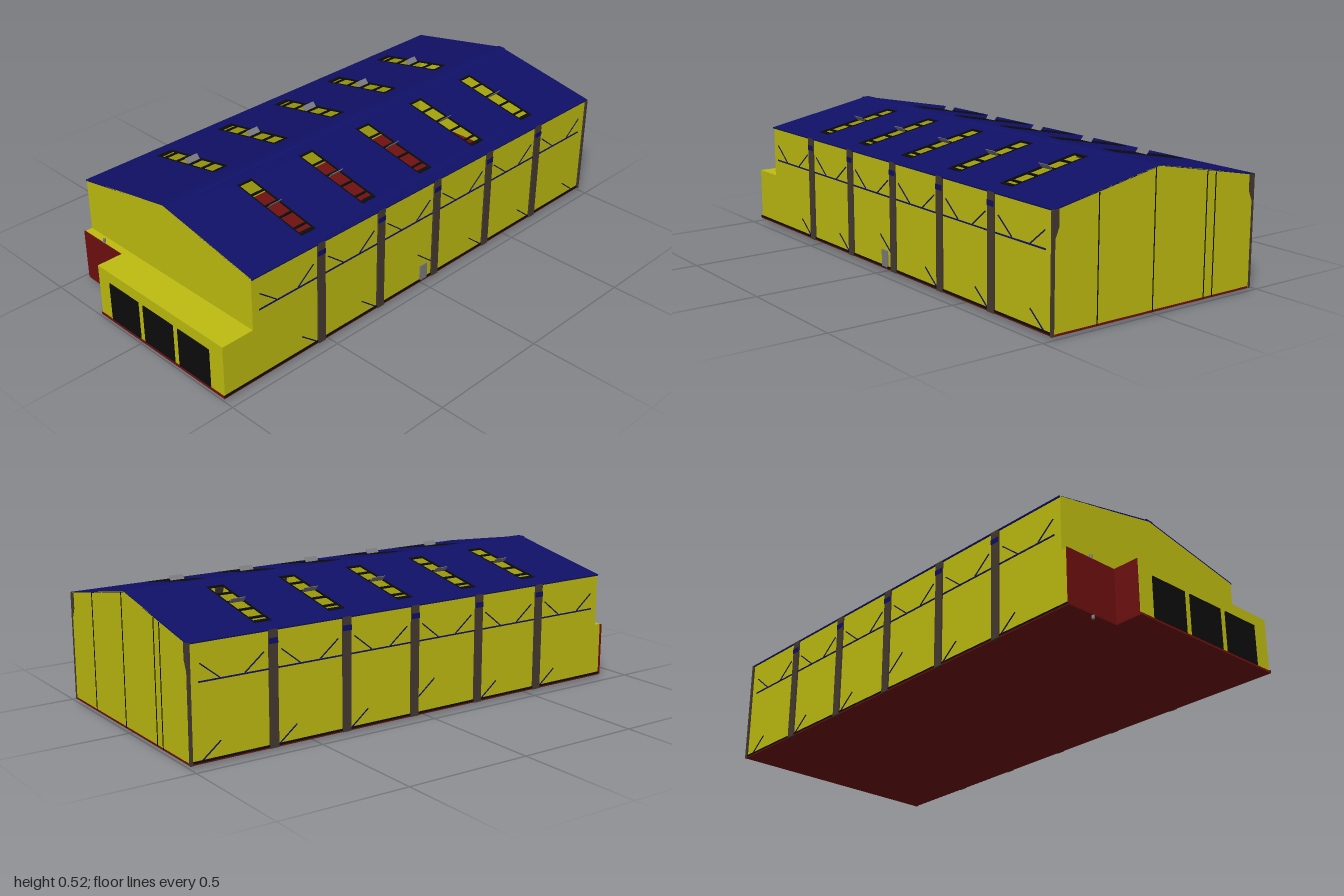
import * as THREE from 'three';

const mat = (name, color) => {
  const m = new THREE.MeshStandardMaterial({ color });
  m.name = name;
  return m;
};

export function createModel() {
  const hall = new THREE.Group();
  hall.name = 'industrialHall';
  const yellow = mat('wallYellow', 0xbfbd10);
  const navy = mat('roofNavy', 0x101068);
  const red = mat('floorRed', 0x701010);
  const brown = mat('columnBrown', 0x453a30);
  const black = mat('trimBlack', 0x0c0c0c);
  const grey = mat('steelGrey', 0x7c7c80);

  const add = (name, geo, material, parent = hall) => {
    const m = new THREE.Mesh(geo, material);
    m.name = name;
    parent.add(m);
    return m;
  };
  // Box given by its minimum and maximum on each axis
  const box = (name, material, x0, x1, y0, y1, z0, z1, parent = hall) => {
    const m = add(name, new THREE.BoxGeometry(x1 - x0, y1 - y0, z1 - z0), material, parent);
    m.position.set((x0 + x1) / 2, (y0 + y1) / 2, (z0 + z1) / 2);
    return m;
  };
  const shapeOf = (pts) => new THREE.Shape(pts.map(([x, y]) => new THREE.Vector2(x, y)));
  const extrude = (shape, depth) => new THREE.ExtrudeGeometry(shape, { depth, bevelEnabled: false });

  const LEFT = 1, RIGHT = -0.86, HALF = 0.457, EAVE = 0.435, RIDGE = 0.524, BASE = 0.015;
  const bays = [-0.54, -0.237, 0.066, 0.369, 0.673];

  // Floor slab with the notch at the back corner
  const floor = extrude(shapeOf([[-1, -0.46], [1, -0.46], [1, 0.46], [-0.89, 0.46],
    [-0.89, 0.235], [-1, 0.235]]), 0.008);
  floor.rotateX(-Math.PI / 2);
  add('floor', floor, red).position.y = 0.012;

  // Long walls
  box('frontWall', yellow, RIGHT, LEFT, BASE, EAVE, HALF - 0.005, HALF);
  box('backWall', yellow, RIGHT, LEFT, BASE, EAVE, -HALF, -HALF + 0.005);

  // Gable walls
  for (const [name, x] of [['leftGable', LEFT - 0.006], ['rightGable', RIGHT]]) {
    const g = extrude(shapeOf([[-HALF, BASE], [HALF, BASE], [HALF, EAVE], [0, RIDGE - 0.002],
      [-HALF, EAVE]]), 0.006);
    g.rotateY(Math.PI / 2);
    add(name, g, yellow).position.x = x;
  }
  // Upright seams on the left gable
  for (const z of [0.27, 0.02, -0.225, -0.267]) {
    box('gableSeam', black, 0.998, 1.002, BASE, RIDGE - 0.2 * Math.abs(z) - 0.004, z - 0.0015, z + 0.0015);
  }

  // Columns with their haunched heads, along both long walls
  const columnShape = shapeOf([[0.454, 0.012], [0.464, 0.012], [0.464, EAVE], [0.438, EAVE],
    [0.438, 0.375], [0.454, 0.337]]);
  const column = (x, width, side) => {
    const g = extrude(columnShape, width);
    g.translate(0, 0, -width / 2);
    g.rotateY(-Math.PI / 2);
    const m = add('column', g, brown);
    m.position.x = x;
    if (side < 0) m.rotation.y = Math.PI;
  };
  for (const side of [1, -1]) {
    for (const x of bays) {
      column(x, 0.035, side);
      box('columnPlate', navy, x - 0.018, x + 0.018, 0.385, 0.405,
        side * 0.4645 - 0.001, side * 0.4645 + 0.001);
    }
    column(0.9965, 0.01, side);
    // Sill line and long rail
    box('sill', black, side > 0 ? -1 : -0.89, 1, 0.017, 0.024, side * 0.459 - 0.002, side * 0.459 + 0.002);
    box('wallRail', navy, -0.83, 0.96, 0.294, 0.299, side * 0.458 - 0.002, side * 0.458 + 0.002);
    // Thin diagonal braces
    const brace = (x0, y0, x1, y1) => {
      const b = add('brace', new THREE.BoxGeometry(Math.hypot(x1 - x0, y1 - y0), 0.004, 0.003), navy);
      b.position.set((x0 + x1) / 2, (y0 + y1) / 2, side * 0.458);
      b.rotation.z = Math.atan2(y1 - y0, x1 - x0);
    };
    for (const x of [-0.86, ...bays]) brace(x + 0.035, 0.36, x + 0.11, 0.3);
    for (const x of [...bays, 0.99]) brace(x - 0.11, 0.3, x - 0.035, 0.36);
    for (const x of [...bays, 0.976]) {
      const lift = x === bays[2] ? 0.062 : 0;
      brace(x - 0.095, 0.08 + lift, x - 0.02, 0.02 + lift);
    }
  }

  // Front door
  box('frontDoor', grey, -0.015, 0.023, 0.02, 0.085, 0.455, 0.462);

  // Roof slopes: drawn flat from eave to ridge, with roof light openings
  const run = 0.463, rise = RIDGE - EAVE, slope = Math.hypot(run, rise);
  const up = (z) => (run - z) * slope / run;
  const roofSide = (name, dir) => {
    const side = new THREE.Group();
    side.name = name;
    side.rotation.y = dir > 0 ? 0 : Math.PI;
    const plane = new THREE.Group();
    plane.position.set(0, EAVE, run);
    plane.rotation.x = -Math.acos(rise / slope);
    side.add(plane);
    hall.add(side);
    const edges = [RIGHT * dir, LEFT * dir].sort((a, b) => a - b);
    const shape = shapeOf([[edges[0], 0], [edges[1], 0], [edges[1], slope], [edges[0], slope]]);
    const v0 = up(0.398), v1 = up(0.065);
    for (const bx of bays) {
      const x = bx * dir, a = x - 0.032, b = x + 0.032;
      shape.holes.push(new THREE.Path([[a, v0], [a, v1], [b, v1], [b, v0]]
        .map(([px, py]) => new THREE.Vector2(px, py))));
      // Glazing bars
      for (const z of [0.39, 0.355, 0.283, 0.21, 0.137, 0.07]) {
        const w = z === 0.39 ? 0.007 : 0.003;
        box('glazingBar', black, a, b, up(z) - w, up(z) + w, -0.004, 0.003, plane);
      }
      for (const ex of [a, b]) box('lightFrame', black, ex - 0.0015, ex + 0.0015, v0, v1, -0.004, 0.003, plane);
      // Raised vent flap
      const flap = add('ventFlap', new THREE.BoxGeometry(0.058, 0.024, 0.002), grey, plane);
      flap.position.set(x, up(0.225), 0.0105);
      flap.rotation.x = -1.05;
    }
    const g = extrude(shape, 0.005);
    g.translate(0, 0, -0.005);
    add('roofPanel', g, navy, plane);
  };
  roofSide('frontRoof', 1);
  roofSide('backRoof', -1);

  // Ridge cap
  const cap = extrude(shapeOf([[-0.022, 0.5205], [0.022, 0.5205], [0.015, 0.525], [-0.015, 0.525]]), LEFT - RIGHT);
  cap.rotateY(Math.PI / 2);
  add('ridgeCap', cap, navy).position.x = RIGHT;

  // Low loading annex and its narrow strip
  box('annex', yellow, -0.996, RIGHT, 0.016, 0.226, -0.233, HALF);
  box('annexStrip', yellow, -0.888, RIGHT, 0.016, 0.226, -HALF, -0.233);
  box('redEndWall', red, -0.891, -0.887, 0.016, 0.224, -0.464, -0.233);
  box('redSideWall', red, -0.994, -0.888, 0.016, 0.224, -0.236, -0.232);

  // Loading doors
  for (const z of [-0.083, 0.11, 0.303]) {
    box('loadingDoor', black, -1, -0.994, 0.022, 0.18, z - 0.083, z + 0.083);
  }

  // Drain pipe by the notch
  const pipe = add('drainPipe', new THREE.CylinderGeometry(0.006, 0.006, 0.24, 10), grey);
  pipe.position.set(-0.885, 0.12, -0.343);

  return hall;
}
